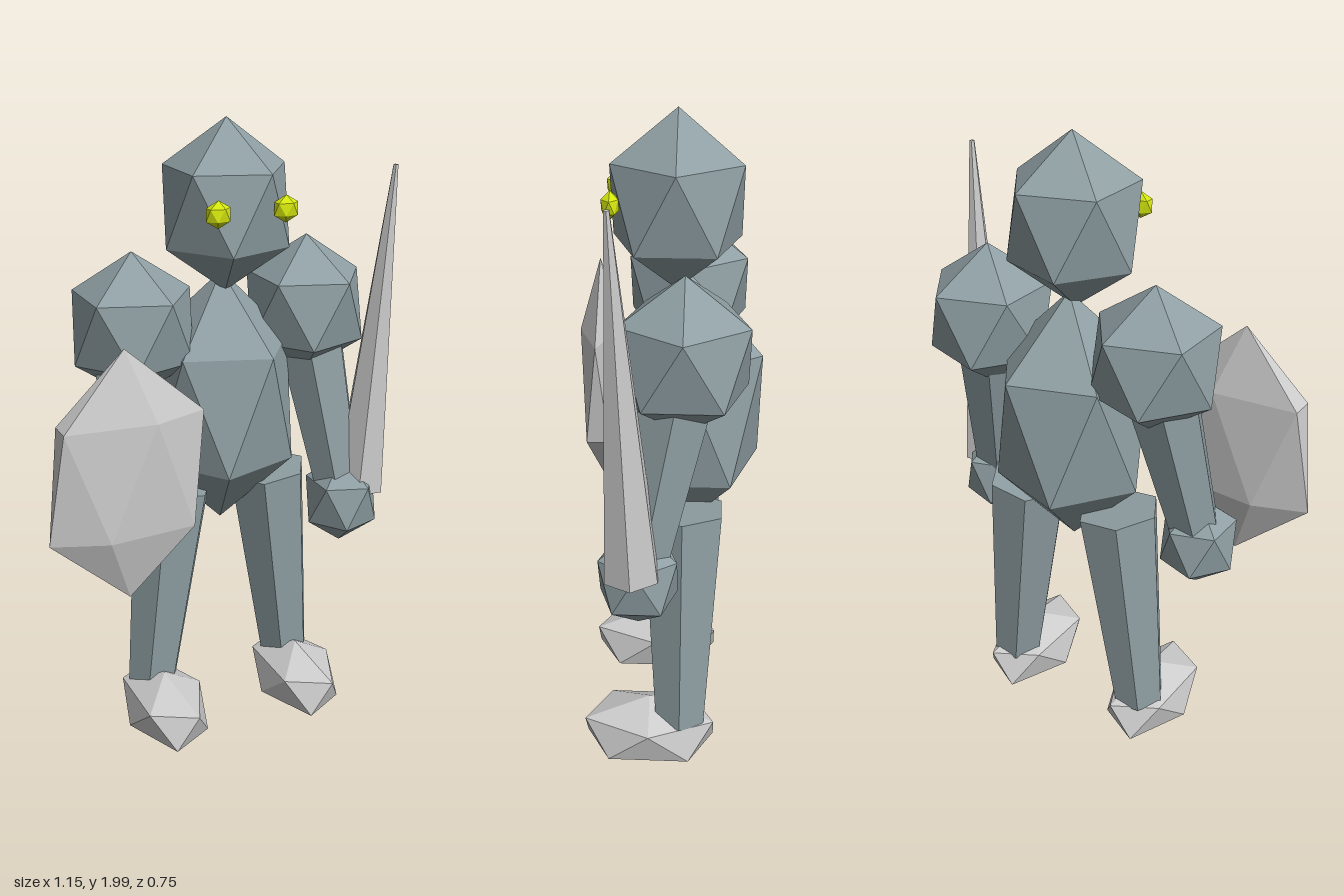
import * as THREE from 'three';
import { ConvexGeometry } from 'three/addons/geometries/ConvexGeometry.js';

const V = (x, y, z) => new THREE.Vector3(x, y, z);

// Unit icosahedron standing on a corner, one upper corner facing +x
function uprightIcosahedron() {
  const points = [V(0, 1, 0), V(0, -1, 0)];
  const h = 1 / Math.sqrt(5), ring = 2 * h;
  for (let i = 0; i < 5; i++) {
    const a = (i * Math.PI * 2) / 5;
    points.push(V(ring * Math.cos(a), h, ring * Math.sin(a)));
    points.push(V(-ring * Math.cos(a), -h, ring * Math.sin(a)));
  }
  return new ConvexGeometry(points);
}

export function createModel() {
  const model = new THREE.Group();
  model.name = 'knight';

  // The figure is turned slightly to its right
  const body = new THREE.Group();
  body.name = 'figure';
  body.position.set(0.14, 0, -0.045);
  body.rotation.y = -Math.PI / 6;
  model.add(body);

  const paint = (color) => new THREE.MeshStandardMaterial({ color, flatShading: true });
  const armour = paint(0x8f9fa3);
  const grey = paint(0xcccccc);
  const yellow = paint(0xd4e60f);
  const ico = uprightIcosahedron();

  // Faceted ball stretched to the given radii
  function gem(name, material, position, radii) {
    const mesh = new THREE.Mesh(ico, material);
    mesh.name = name;
    mesh.position.set(...position);
    mesh.scale.set(...radii);
    body.add(mesh);
  }

  // Six-sided tapered bar between two points
  function bar(name, material, bottom, top, rBottom, rTop) {
    const a = V(...bottom), b = V(...top);
    const axis = b.clone().sub(a);
    const geometry = new THREE.CylinderGeometry(rTop, rBottom, axis.length(), 6, 1, false, Math.PI / 6);
    const mesh = new THREE.Mesh(geometry, material);
    mesh.name = name;
    mesh.position.copy(a).add(b).multiplyScalar(0.5);
    mesh.quaternion.setFromUnitVectors(V(0, 1, 0), axis.normalize());
    body.add(mesh);
  }

  // Head and torso
  gem('head', armour, [0, 1.745, 0.03], [0.214, 0.255, 0.214]);
  gem('torso', armour, [0, 1.135, 0], [0.257, 0.41, 0.257]);

  // Paired parts
  for (const [side, s] of [['left', 1], ['right', -1]]) {
    gem(side + 'Eye', yellow, [s * 0.106, 1.76, 0.208], [0.042, 0.04, 0.028]);
    gem(side + 'Shoulder', armour, [s * 0.289, 1.405, 0], [0.207, 0.225, 0.207]);
    bar(side + 'Arm', armour, [s * 0.375, 0.81, 0.11], [s * 0.289, 1.4, 0], 0.08, 0.118);
    gem(side + 'Hand', armour, [s * 0.381, 0.77, 0.12], [0.13, 0.153, 0.13]);
    bar(side + 'Leg', armour, [s * 0.248, 0.17, 0], [s * 0.168, 0.87, 0], 0.084, 0.13);
    gem(side + 'Foot', grey, [s * 0.242, 0.125, 0.094], [0.14, 0.118, 0.233]);
  }

  // Shield on the right arm, pointed blade in the left hand
  gem('shield', grey, [-0.424, 1.05, 0.285], [0.268, 0.385, 0.07]);
  bar('sword', grey, [0.438, 0.81, 0.134], [0.48, 1.855, 0.185], 0.085, 0.008);

  return model;
}
